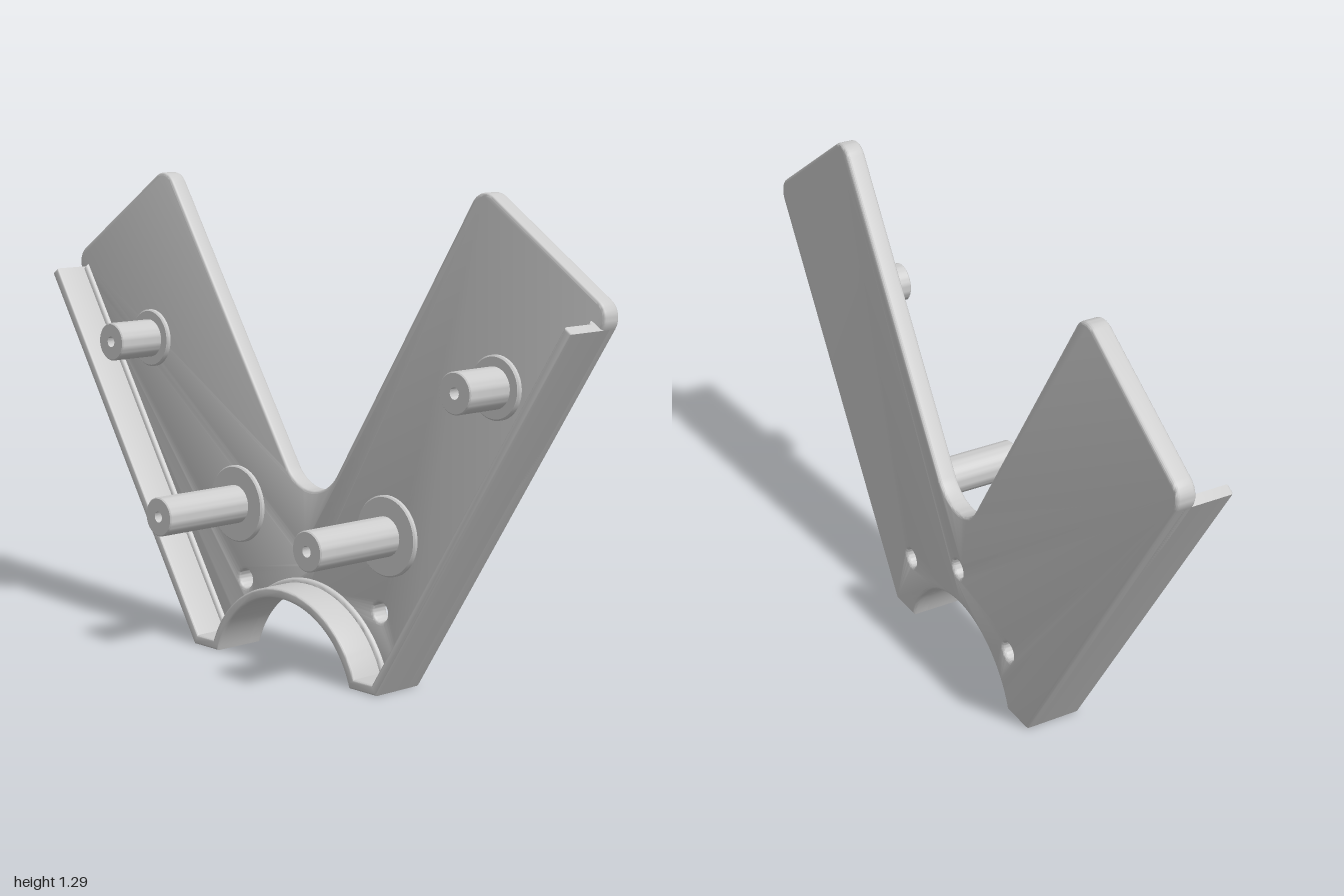
import * as THREE from 'three';
import { toCreasedNormals } from 'three/addons/utils/BufferGeometryUtils.js';

const material = new THREE.MeshStandardMaterial({ color: 0xcccccc });
const BACK = -0.169, PLATE_FRONT = -0.117, RIM_FRONT = -0.01;

// Each arm leans outwards: TILT is the angle of its outward normal
const TILT = -0.569;
const N = new THREE.Vector2(Math.cos(TILT), Math.sin(TILT));
const FOOT = 0.36;            // outer corner of the foot
const ARC_Y = -0.083, ARC_R = 0.273; // bottom cut-out
const CORNER_R = 0.05, OUTER_CORNER = [0.95, 1.015], INNER_CORNER = [0.615, 1.24];

function arc(x, y, r, from, to, steps) {
  return Array.from({ length: steps + 1 }, (_, i) => {
    const a = from + (to - from) * i / steps;
    return new THREE.Vector2(x + r * Math.cos(a), y + r * Math.sin(a));
  });
}

const mirrored = (points) => points.map((p) => new THREE.Vector2(-p.x, p.y)).reverse();

// Cut-out and foot of the right half, moved inwards by d; starts on the centre line
function lowerEdge(d) {
  const r = ARC_R + d;
  const end = Math.asin((d - ARC_Y) / r);
  return [
    ...arc(0, ARC_Y, r, Math.PI / 2, end, 24),
    new THREE.Vector2((N.x * FOOT - d - N.y * d) / N.x, d),
  ];
}

// Extrusion between two depths, with rounded edges that stay inside the outline
function slab(name, shape, z0, z1, bevel, segments = 3) {
  const geometry = new THREE.ExtrudeGeometry(shape, {
    depth: z1 - z0 - 2 * bevel, curveSegments: 32,
    bevelThickness: bevel, bevelSize: bevel, bevelOffset: -bevel, bevelSegments: segments,
  });
  geometry.translate(0, 0, z0 + bevel);
  const mesh = new THREE.Mesh(toCreasedNormals(geometry, 0.6), material);
  mesh.name = name;
  return mesh;
}

function plateShape() {
  const q = Math.PI / 2;
  const half = [
    ...lowerEdge(0),
    ...arc(...OUTER_CORNER, CORNER_R, TILT, TILT + q, 10),
    ...arc(...INNER_CORNER, CORNER_R, TILT + q, TILT + 2 * q, 10),
    ...arc(0, 0.584, 0.114, TILT, -q, 14),
  ];
  const shape = new THREE.Shape([...half, ...mirrored(half.slice(1, -1))]);
  for (const [x, y] of [[0, 0.295], [-0.265, 0.185], [0.265, 0.185]]) {
    shape.holes.push(new THREE.Path().absarc(x, y, 0.026, 0, Math.PI * 2, true));
  }
  return shape;
}

// Band that follows the outer sides, feet and cut-out, between two inward offsets
function rimShape(outer, inner) {
  const line = (d) => {
    const top = new THREE.Vector2(...OUTER_CORNER).addScaledVector(N, CORNER_R - d);
    const half = [...lowerEdge(d), top];
    return [...mirrored(half.slice(1)), ...half];
  };
  return new THREE.Shape([...line(outer), ...line(inner).reverse()]);
}

// Post with a base collar and a pilot hole in its tip
function post(name, x, y, collar, tip) {
  const h = tip - PLATE_FRONT, r = 0.053, hole = 0.015;
  const profile = [
    [collar, -0.01], [collar, 0.008], [collar - 0.004, 0.012], [r, 0.012],
    [r, h - 0.003], [r - 0.003, h], [hole, h], [hole, h - 0.06], [0, h - 0.06],
  ].map(([a, b]) => new THREE.Vector2(a, b));
  const geometry = new THREE.LatheGeometry(profile, 48).rotateX(Math.PI / 2);
  const mesh = new THREE.Mesh(toCreasedNormals(geometry, 0.5), material);
  mesh.name = name;
  mesh.position.set(x, y, PLATE_FRONT);
  return mesh;
}

export function createModel() {
  const model = new THREE.Group();
  model.name = 'vBracket';
  model.add(
    slab('plate', plateShape(), BACK, PLATE_FRONT, 0.008),
    slab('rim', rimShape(0, 0.027), BACK + 0.02, RIM_FRONT, 0.006),
    // Sloped foot of the rim where it meets the plate
    slab('rimFillet', rimShape(0.004, 0.039), BACK + 0.022, PLATE_FRONT + 0.012, 0.012),
  );
  for (const [side, s] of [['left', 1], ['right', -1]]) {
    model.add(
      post(side + 'LongPost', s * 0.293, 0.393, 0.107, 0.169),
      post(side + 'ShortPost', s * 0.665, 0.82, 0.081, 0.033),
    );
  }
  return model;
}
